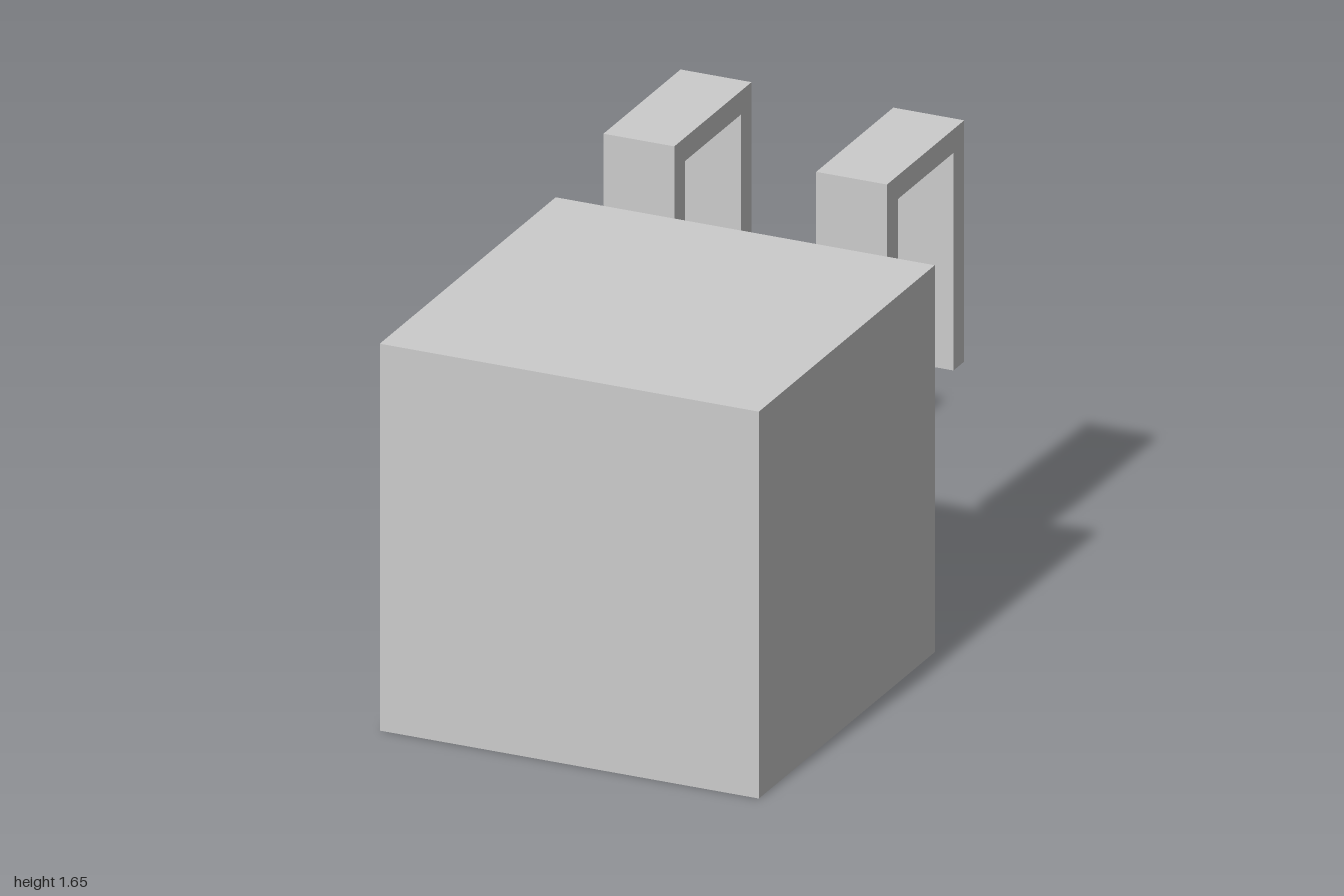
import * as THREE from 'three';

const material = new THREE.MeshStandardMaterial({ color: 0xcccccc, flatShading: true });

// Extrudes a side profile of [z, y] points to a width centred on x = 0
function sideProfile(name, points, width) {
  const shape = new THREE.Shape(points.map(([z, y]) => new THREE.Vector2(z, y)));
  const geometry = new THREE.ExtrudeGeometry(shape, { depth: width, bevelEnabled: false });
  geometry.translate(0, 0, -width / 2).rotateY(-Math.PI / 2);
  const mesh = new THREE.Mesh(geometry, material);
  mesh.name = name;
  return mesh;
}

export function createModel() {
  const model = new THREE.Group();
  model.name = 'backpack';

  // Main bag
  const bag = new THREE.Mesh(new THREE.BoxGeometry(1.39, 1.395, 1.39), material);
  bag.name = 'bag';
  bag.position.set(0, 0.6975, 0.305);
  model.add(bag);

  for (const side of [1, -1]) {
    const strap = new THREE.Group();
    strap.name = side > 0 ? 'leftStrap' : 'rightStrap';
    strap.position.x = side * 0.39;

    // Wide hooked shoulder band
    strap.add(sideProfile('shoulderBand', [
      [-0.39, 0.7], [-0.39, 1.655], [-1, 1.655], [-1, 0.785],
      [-0.915, 0.785], [-0.915, 1.57], [-0.475, 1.57], [-0.475, 0.7],
    ], 0.26));

    // Narrow slanted band running down to the foot of the bag
    strap.add(sideProfile('lowerBand', [
      [-0.39, 0], [-0.39, 0.15], [-0.915, 0.9], [-0.94, 0.785],
    ], 0.09));

    model.add(strap);
  }
  return model;
}
